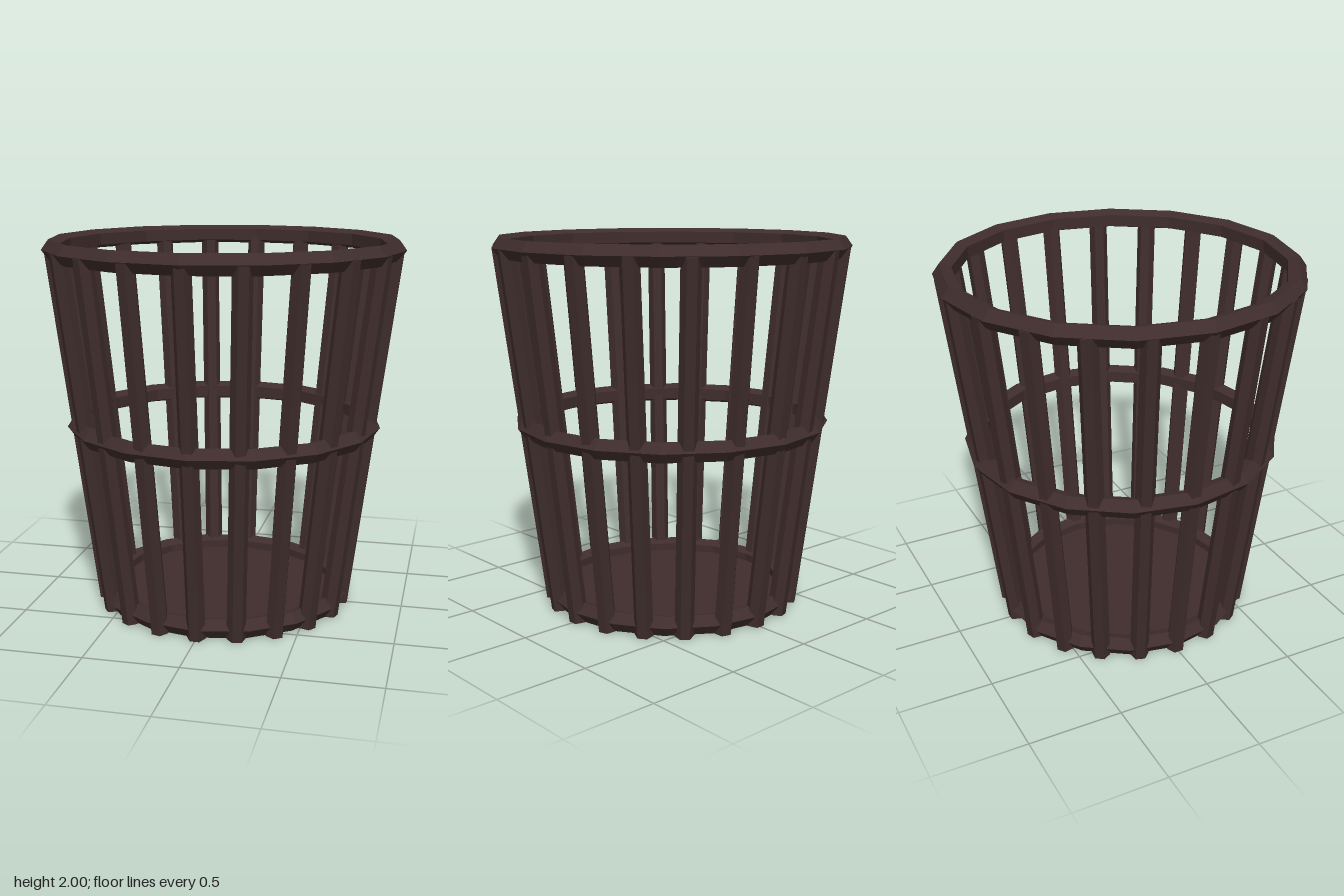
import * as THREE from 'three';

const wood = new THREE.MeshStandardMaterial({ color: 0x402d2d });
wood.name = 'dark brown';

// Faceted mesh: every face gets its own normal
function facet(geometry, name) {
  const flat = geometry.toNonIndexed();
  flat.computeVertexNormals();
  const mesh = new THREE.Mesh(flat, wood);
  mesh.name = name;
  return mesh;
}

export function createModel() {
  const basket = new THREE.Group();
  basket.name = 'basket';

  // Hoops: sixteen-sided rings with a five-sided section
  const hoops = [
    ['bottomHoop', 0.645, 0.06],
    ['middleHoop', 0.797, 1.005],
    ['topHoop', 0.905, 1.948],
  ];
  for (const [name, radius, y] of hoops) {
    const hoop = facet(new THREE.TorusGeometry(radius, 0.055, 5, 16).rotateX(Math.PI / 2), name);
    hoop.position.y = y;
    basket.add(hoop);
  }

  // Floor disc inside the bottom hoop
  const floor = facet(new THREE.CylinderGeometry(0.65, 0.65, 0.04, 16).rotateY(Math.PI / 2), 'floor');
  floor.position.y = 0.03;
  basket.add(floor);

  // Twenty six-sided slats leaning outwards
  const count = 20;
  const bottom = new THREE.Vector3(0.656, 0.006, 0);
  const top = new THREE.Vector3(0.904, 1.95, 0);
  const lean = top.clone().sub(bottom);
  const slatGeometry = new THREE.CylinderGeometry(0.05, 0.05, lean.length(), 6);
  const slats = new THREE.Group();
  slats.name = 'slats';
  for (let i = 0; i < count; i++) {
    const slat = facet(slatGeometry, 'slat');
    slat.position.copy(bottom).add(top).multiplyScalar(0.5);
    slat.rotation.z = -Math.atan2(lean.x, lean.y);
    const pivot = new THREE.Group();
    pivot.name = 'slatPivot';
    pivot.rotation.y = (i / count) * Math.PI * 2;
    pivot.add(slat);
    slats.add(pivot);
  }
  basket.add(slats);

  return basket;
}
